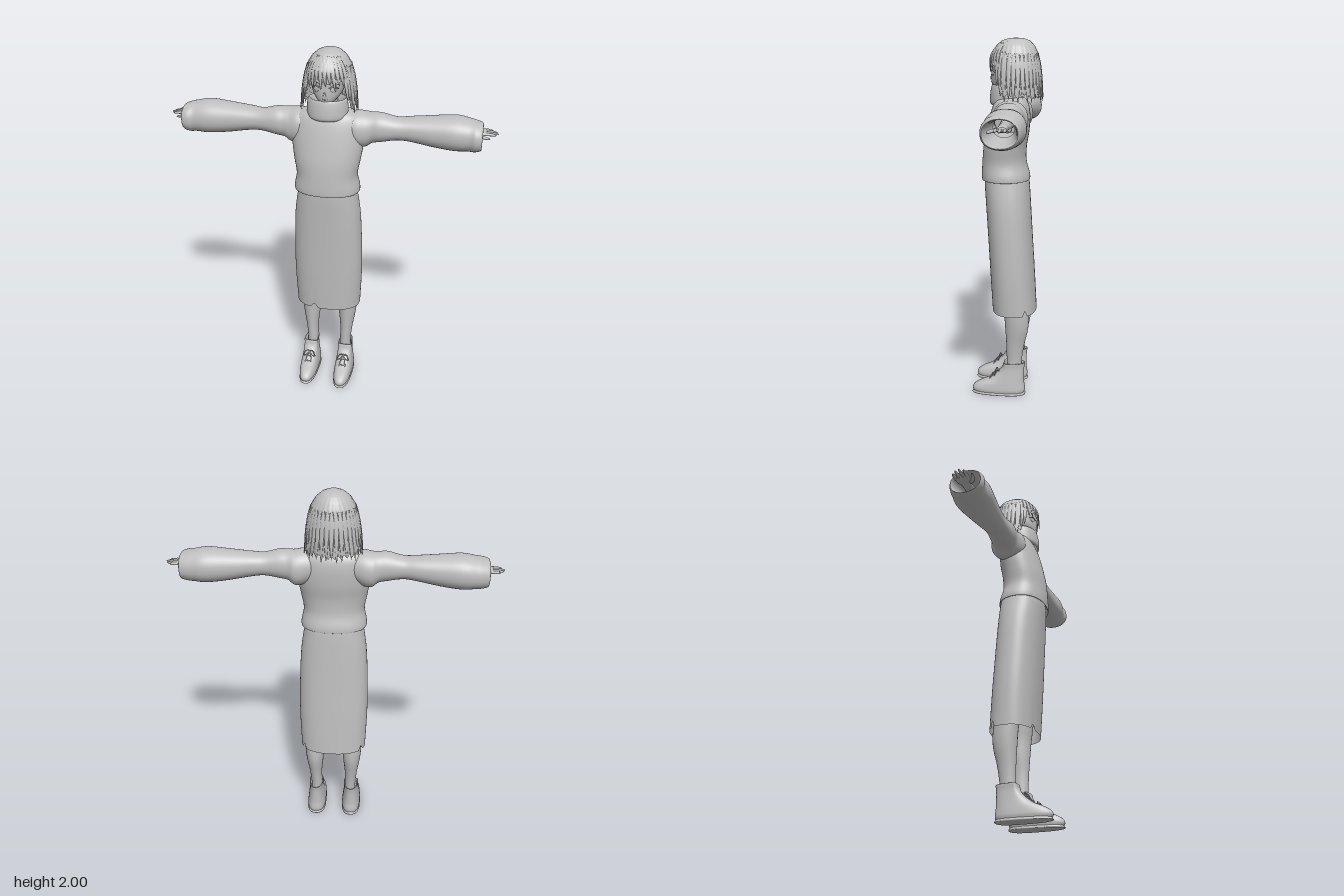
import * as THREE from 'three';

const grey = new THREE.MeshStandardMaterial({ color: 0xbfbfbf, side: THREE.DoubleSide });
grey.name = 'plain grey';

// Closed-around surface: fn(angle, t) gives a point; angle 0 faces +z
function surface(name, nu, nv, fn) {
  const pos = [], idx = [];
  for (let j = 0; j <= nv; j++)
    for (let i = 0; i < nu; i++) pos.push(...fn(-Math.PI + (i / nu) * Math.PI * 2, j / nv));
  for (let j = 0; j < nv; j++)
    for (let i = 0; i < nu; i++) {
      const k = (i + 1) % nu, a = j * nu + i, b = j * nu + k, c = a + nu, d = b + nu;
      idx.push(a, b, d, a, d, c);
    }
  const g = new THREE.BufferGeometry();
  g.setAttribute('position', new THREE.Float32BufferAttribute(pos, 3));
  g.setIndex(idx);
  g.computeVertexNormals();
  return part(name, g);
}

function part(name, geo) {
  const m = new THREE.Mesh(geo, grey);
  m.name = name;
  return m;
}

// Smooth interpolation through rows of numbers
function spline(rows, t) {
  const f = t * (rows.length - 1), i = Math.min(Math.floor(f), rows.length - 2), u = f - i;
  const at = (k) => rows[Math.max(0, Math.min(rows.length - 1, k))];
  return rows[0].map((_, c) => {
    const [p0, p1, p2, p3] = [at(i - 1)[c], at(i)[c], at(i + 1)[c], at(i + 2)[c]];
    return p1 + 0.5 * u * (p2 - p0 + u * (2 * p0 - 5 * p1 + 4 * p2 - p3 + u * (3 * (p1 - p2) + p3 - p0)));
  });
}

const pw = (v, p) => Math.sign(v) * Math.abs(v) ** p;

// Loft rows [position, half width, front z, back z, side offset] along y or x
function loft(name, rows, { axis = 'y', side = 1, p = 0.9, nu = 40, mid, tweak } = {}) {
  return surface(name, nu, (rows.length - 1) * 4, (a, t) => {
    const [q, r, zf, zb, off = 0] = spline(rows, t);
    const c = mid ?? (zf + zb) / 2, k = Math.cos(a);
    const z = c + (k > 0 ? zf - c : c - zb) * pw(k, p), s = off + r * pw(Math.sin(a), p);
    const pt = axis === 'y' ? [s * side, q, z] : [q * side, s, z];
    if (tweak) tweak(pt, a, t);
    return pt;
  });
}

// Tapered solid strip along three points, lying flat against the head
function lock(name, pts, w, d) {
  const curve = new THREE.CatmullRomCurve3(pts);
  return surface(name, 8, 10, (a, t) => {
    const c = curve.getPoint(t), n = new THREE.Vector3(c.x, 0, c.z + 0.04).normalize();
    const k = Math.max(0, 1 - t) ** 0.6 * Math.min(1, 0.3 + t * 3);
    const u = Math.sin(a) * w * k, v = Math.cos(a) * d * k;
    return [c.x + n.z * u + n.x * v, c.y, c.z - n.x * u + n.z * v];
  });
}

function tube(name, pts, r, n = 16) {
  return part(name, new THREE.TubeGeometry(
    new THREE.CatmullRomCurve3(pts.map((q) => new THREE.Vector3(...q))), n, r, 6));
}

// Hair outline by height: [y, half width, front z, back z]
const hairRows = [[2, 0, -0.04, -0.04], [1.997, 0.03, 0, -0.08], [1.985, 0.06, 0.035, -0.115],
  [1.96, 0.09, 0.065, -0.14], [1.92, 0.115, 0.09, -0.16], [1.87, 0.129, 0.101, -0.169],
  [1.8, 0.138, 0.104, -0.177], [1.72, 0.15, 0.1, -0.186], [1.66, 0.147, 0.09, -0.182]];

function hairPoint(a, y, s = 1) {
  let i = 0;
  while (i < hairRows.length - 2 && hairRows[i + 1][0] > y) i++;
  const A = hairRows[i], B = hairRows[i + 1], u = Math.min(1, (A[0] - y) / (A[0] - B[0]));
  const [, r, zf, zb] = A.map((v, c) => v + (B[c] - v) * u);
  const k = Math.cos(a);
  return new THREE.Vector3(Math.sin(a) * r * s, y, -0.04 + k * s * (k > 0 ? zf + 0.04 : -0.04 - zb));
}

function hair() {
  const g = new THREE.Group();
  g.name = 'hair';
  const saw = (a, n) => Math.abs((((a * n) / Math.PI) % 1 + 1) % 1 - 0.5) * 2;
  // Bob with ridges, ragged hem and a gap for the face
  g.add(surface('hairShell', 168, 22, (a, t) => {
    const hem = Math.abs(a) < 1 ? 1.845 + 0.02 * saw(a, 9) : 1.695 - 0.012 * Math.cos(a + Math.PI) + 0.02 * saw(a, 14);
    const v = hairPoint(a, 2 - (2 - hem) * t * t, 1 - 0.035 * t * saw(a, 14));
    return [v.x, v.y, v.z];
  }));
  // Fringe
  for (let i = -5; i <= 5; i++) {
    const a = i * 0.18, end = 1.835 + 0.018 * Math.sin(i * 2.3) - 0.003 * Math.abs(i);
    g.add(lock('fringeLock', [hairPoint(a * 0.8, 1.975), hairPoint(a * 0.95, 1.91, 1.01), hairPoint(a + 0.06, end, 1.0)], 0.02, 0.006));
  }
  // Locks beside the face
  for (const s of [-1, 1])
    for (const [a, end] of [[0.88, 1.75], [1.0, 1.71], [1.14, 1.69]])
      g.add(lock('sideLock', [hairPoint(s * a, 1.93), hairPoint(s * a, 1.82, 1.01), hairPoint(s * a, end, 1.0)], 0.016, 0.008));
  // Locks round the sides and back
  for (let i = 0; i <= 22; i++) {
    const a = 1.2 + (i / 22) * (2 * Math.PI - 2.4);
    g.add(lock('backLock', [hairPoint(a, 1.92, 0.99), hairPoint(a, 1.8), hairPoint(a, 1.672 + 0.012 * Math.sin(i * 1.9), 1.03)], 0.02, 0.008));
  }
  return g;
}

function head() {
  const g = new THREE.Group();
  g.name = 'head';
  g.add(loft('face', [[1.73, 0, 0.06, 0.05], [1.733, 0.022, 0.078, 0.01], [1.752, 0.048, 0.088, -0.04],
    [1.785, 0.074, 0.092, -0.09], [1.83, 0.09, 0.091, -0.13], [1.89, 0.098, 0.088, -0.14],
    [1.94, 0.08, 0.06, -0.125], [1.965, 0, -0.03, -0.05]], { p: 0.95 }));
  g.add(loft('neck', [[1.62, 0.05, 0.02, -0.08], [1.78, 0.045, 0.02, -0.07]]));
  const nose = part('nose', new THREE.ConeGeometry(0.009, 0.03, 8));
  nose.position.set(0, 1.798, 0.092);
  nose.rotation.x = 0.2;
  g.add(nose, tube('mouth', [[-0.014, 1.769, 0.091], [0, 1.767, 0.093], [0.014, 1.769, 0.091]], 0.002, 8));
  for (const s of [-1, 1]) {
    const eye = part('eye', new THREE.SphereGeometry(1, 16, 10));
    eye.scale.set(0.017, 0.014, 0.004);
    eye.position.set(s * 0.045, 1.818, 0.08);
    eye.rotation.y = s * 0.5;
    g.add(eye, tube('eyelash', [[s * 0.022, 1.826, 0.09], [s * 0.045, 1.835, 0.083], [s * 0.068, 1.822, 0.067]], 0.003, 10));
  }
  return g;
}

function hand(s) {
  const g = new THREE.Group();
  g.name = 'hand';
  g.add(loft('palm', [[0.5, 0.028, -0.01, -0.08, 1.6], [0.73, 0.02, -0.02, -0.07, 1.6], [0.78, 0.013, -0.012, -0.085, 1.6],
    [0.815, 0.01, -0.012, -0.088, 1.602], [0.82, 0, -0.03, -0.06, 1.602]], { axis: 'x', side: s, nu: 16 }));
  [[-0.082, 0.855], [-0.062, 0.873], [-0.04, 0.88], [-0.019, 0.868]].forEach(([z, tip]) =>
    g.add(loft('finger', [[0.8, 0.008, z + 0.009, z - 0.009, 1.602], [0.84, 0.007, z + 0.008, z - 0.008, 1.602],
      [tip - 0.008, 0.005, z + 0.005, z - 0.005, 1.6], [tip, 0, z, z, 1.6]], { axis: 'x', side: s, nu: 10 })));
  g.add(loft('thumb', [[0.765, 0.009, 0, -0.03, 1.597], [0.8, 0.008, 0.016, -0.004, 1.594],
    [0.83, 0.005, 0.02, 0.008, 1.592], [0.838, 0, 0.016, 0.016, 1.592]], { axis: 'x', side: s, nu: 10 }));
  return g;
}

function sleeve(s) {
  return loft('sleeve', [[0.08, 0.06, 0.05, -0.09, 1.605], [0.15, 0.092, 0.07, -0.115, 1.588], [0.2, 0.092, 0.058, -0.12, 1.583],
    [0.235, 0.08, 0.05, -0.105, 1.594], [0.28, 0.076, 0.05, -0.1, 1.599], [0.36, 0.06, 0.037, -0.095, 1.597],
    [0.43, 0.064, 0.035, -0.11, 1.597], [0.55, 0.08, 0.045, -0.13, 1.592], [0.66, 0.09, 0.056, -0.147, 1.59],
    [0.73, 0.083, 0.05, -0.138, 1.586], [0.765, 0.079, 0.058, -0.132, 1.583], [0.795, 0.07, 0.05, -0.122, 1.582],
    [0.783, 0.06, 0.04, -0.11, 1.583], [0.65, 0.045, 0.01, -0.09, 1.595]], { axis: 'x', side: s });
}

function leg(s) {
  const g = new THREE.Group();
  g.name = 'legAndShoe';
  const x = 0.105;
  g.add(loft('leg', [[0.95, 0.075, 0.07, -0.1, 0.09], [0.6, 0.06, 0.03, -0.11, x], [0.49, 0.055, 0.015, -0.122, 0.11],
    [0.4, 0.05, 0.008, -0.122, 0.108], [0.3, 0.037, 0.002, -0.1, x], [0.2, 0.032, 0, -0.086, 0.1],
    [0.1, 0.032, 0, -0.085, 0.1]], { side: s, p: 1, nu: 24 }));
  // Shoe, open at the ankle
  g.add(loft('shoe', [[0.012, 0.05, 0.188, -0.1, x], [0.03, 0.054, 0.197, -0.105, x], [0.05, 0.053, 0.188, -0.104, x],
    [0.07, 0.051, 0.158, -0.101, x], [0.095, 0.048, 0.1, -0.1, x], [0.13, 0.044, 0.052, -0.1, x],
    [0.165, 0.041, 0.025, -0.101, x], [0.193, 0.042, 0.016, -0.104, x], [0.187, 0.035, 0.006, -0.094, x],
    [0.14, 0.03, 0, -0.085, x]], { side: s, p: 0.8, mid: 0 }));
  g.add(loft('sole', [[0, 0, 0.02, -0.02, x], [0.001, 0.05, 0.183, -0.1, x], [0.012, 0.054, 0.194, -0.105, x],
    [0.018, 0.05, 0.188, -0.1, x]], { side: s, p: 0.8, mid: 0 }));
  // Laces and bow
  for (const [y, z] of [[0.1, 0.096], [0.12, 0.07], [0.14, 0.048]])
    g.add(tube('lace', [[s * (x - 0.03), y - 0.006, z - 0.022], [s * x, y, z], [s * (x + 0.03), y - 0.006, z - 0.022]], 0.0035, 8));
  for (const d of [-1, 1]) {
    g.add(tube('bowLoop', [[s * x, 0.143, 0.05], [s * x + d * 0.022, 0.145, 0.058], [s * x + d * 0.036, 0.118, 0.07],
      [s * x + d * 0.016, 0.126, 0.066], [s * x, 0.143, 0.05]], 0.003, 14));
    g.add(tube('laceEnd', [[s * x, 0.143, 0.05], [s * x + d * 0.012, 0.12, 0.076], [s * x + d * 0.02, 0.09, 0.1]], 0.003, 8));
  }
  return g;
}

export function createModel() {
  const model = new THREE.Group();
  model.name = 'standingFigure';
  model.add(hair(), head());
  // Sweater body with turned-in hem
  model.add(loft('sweaterBody', [[1.3, 0.155, 0.12, -0.1], [1.25, 0.172, 0.138, -0.116], [1.246, 0.178, 0.144, -0.12],
    [1.275, 0.177, 0.145, -0.117], [1.34, 0.165, 0.142, -0.1], [1.42, 0.178, 0.135, -0.1], [1.5, 0.19, 0.12, -0.113],
    [1.58, 0.192, 0.102, -0.118], [1.635, 0.185, 0.086, -0.113], [1.667, 0.16, 0.072, -0.1], [1.686, 0.11, 0.06, -0.085],
    [1.69, 0.05, 0.04, -0.06]], { nu: 56 }));
  model.add(loft('collar', [[1.648, 0.094, 0.09, -0.07], [1.662, 0.106, 0.1, -0.077], [1.7, 0.108, 0.099, -0.077],
    [1.74, 0.105, 0.093, -0.074], [1.756, 0.098, 0.086, -0.068], [1.745, 0.088, 0.077, -0.06], [1.68, 0.075, 0.06, -0.05]],
  { p: 1 }));
  // Long skirt with small slits at the hem
  model.add(loft('skirt', [[1.3, 0.15, 0.12, -0.1], [1.24, 0.16, 0.13, -0.115], [1.1, 0.181, 0.122, -0.125],
    [0.9, 0.191, 0.11, -0.137], [0.7, 0.193, 0.099, -0.15], [0.49, 0.185, 0.087, -0.162]], {
    nu: 96, p: 0.85,
    tweak: (pt, a, t) => {
      for (const slit of [-0.3, 2.1, -2.1])
        pt[1] += Math.max(0, 1 - Math.abs(a - slit) / 0.12) * 0.035 * Math.max(0, t * 5 - 4);
    },
  }));
  for (const s of [-1, 1]) model.add(sleeve(s), hand(s), leg(s));
  return model;
}
